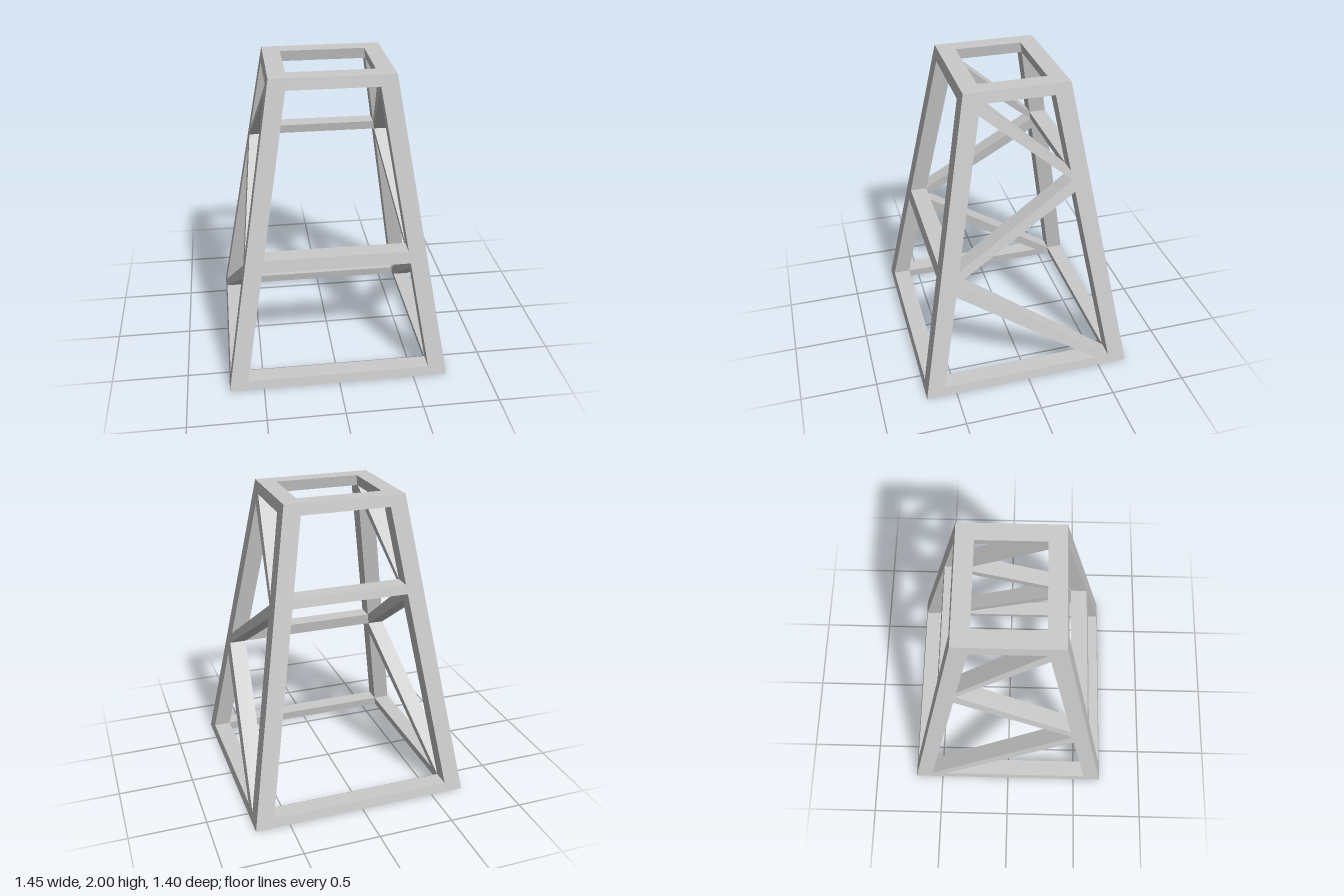
import * as THREE from 'three';

const T = 0.113; // thickness of every beam
const outX = (y) => 0.725 - 0.1675 * y; // half width of the tower at height y
const outZ = (y) => 0.7 - 0.185 * y; // half depth of the tower at height y

export function createModel() {
  const tower = new THREE.Group();
  tower.name = 'taperedTower';
  const material = new THREE.MeshStandardMaterial({ color: 0xcccccc, flatShading: true });

  // Outline drawn on one leaning face, extruded inward, then turned to its side.
  function piece(name, points, out, angle) {
    const shape = new THREE.Shape(points.map(([u, y]) => new THREE.Vector2(u, y)));
    const geometry = new THREE.ExtrudeGeometry(shape, { depth: T, bevelEnabled: false });
    const pos = geometry.attributes.position;
    for (let i = 0; i < pos.count; i++) {
      pos.setZ(i, pos.getZ(i) + out(pos.getY(i)) - T);
    }
    geometry.rotateY(angle);
    geometry.computeVertexNormals();
    const mesh = new THREE.Mesh(geometry, material);
    mesh.name = name;
    tower.add(mesh);
  }

  // Horizontal rail between the inner edges of two legs
  function rail(name, y0, y1, half, out, angle) {
    const a = half(y0) - T, b = half(y1) - T;
    piece(name, [[-a, y0], [a, y0], [b, y1], [-b, y1]], out, angle);
  }

  // Four leaning corner legs
  for (const [end, angle] of [['front', 0], ['back', Math.PI]]) {
    for (const s of [-1, 1]) {
      const left = (s > 0) === (angle === 0);
      piece(end + (left ? 'Left' : 'Right') + 'Leg', [
        [s * outX(0), 0], [s * outX(2), 2],
        [s * (outX(2) - T), 2], [s * (outX(0) - T), 0],
      ], outZ, angle);
    }
    rail(end + 'BottomRail', 0, 0.063, outX, outZ, angle);
    rail(end + 'TopRail', 1.928, 2, outX, outZ, angle);
  }

  // Cross rails at different heights on front and back
  rail('frontMiddleRail', 0.8, 0.88, outX, outZ, 0);
  rail('backMiddleRail', 1.38, 1.44, outX, outZ, Math.PI);

  // Side rails and zigzag braces, as [z, y] outlines
  const inner = (y) => outZ(y) - T;
  const braces = {
    UpperBrace: [[0.22, 1.928], [inner(1.928), 1.928], [inner(1.86), 1.86],
      [-inner(1.38), 1.38], [-inner(1.44), 1.44]],
    MiddleBrace: [[-inner(1.38), 1.38], [-inner(1.3), 1.3],
      [inner(0.8), 0.8], [inner(0.88), 0.88]],
    LowerBrace: [[inner(0.8), 0.8], [inner(0.71), 0.71],
      [-0.48, 0.06], [-inner(0.06), 0.06]],
  };
  for (const [side, s] of [['left', 1], ['right', -1]]) {
    const angle = s * Math.PI / 2;
    rail(side + 'BottomRail', 0, 0.063, outZ, outX, angle);
    rail(side + 'TopRail', 1.928, 2, outZ, outX, angle);
    for (const [name, points] of Object.entries(braces)) {
      piece(side + name, points.map(([z, y]) => [-s * z, y]), outX, angle);
    }
  }
  return tower;
}
